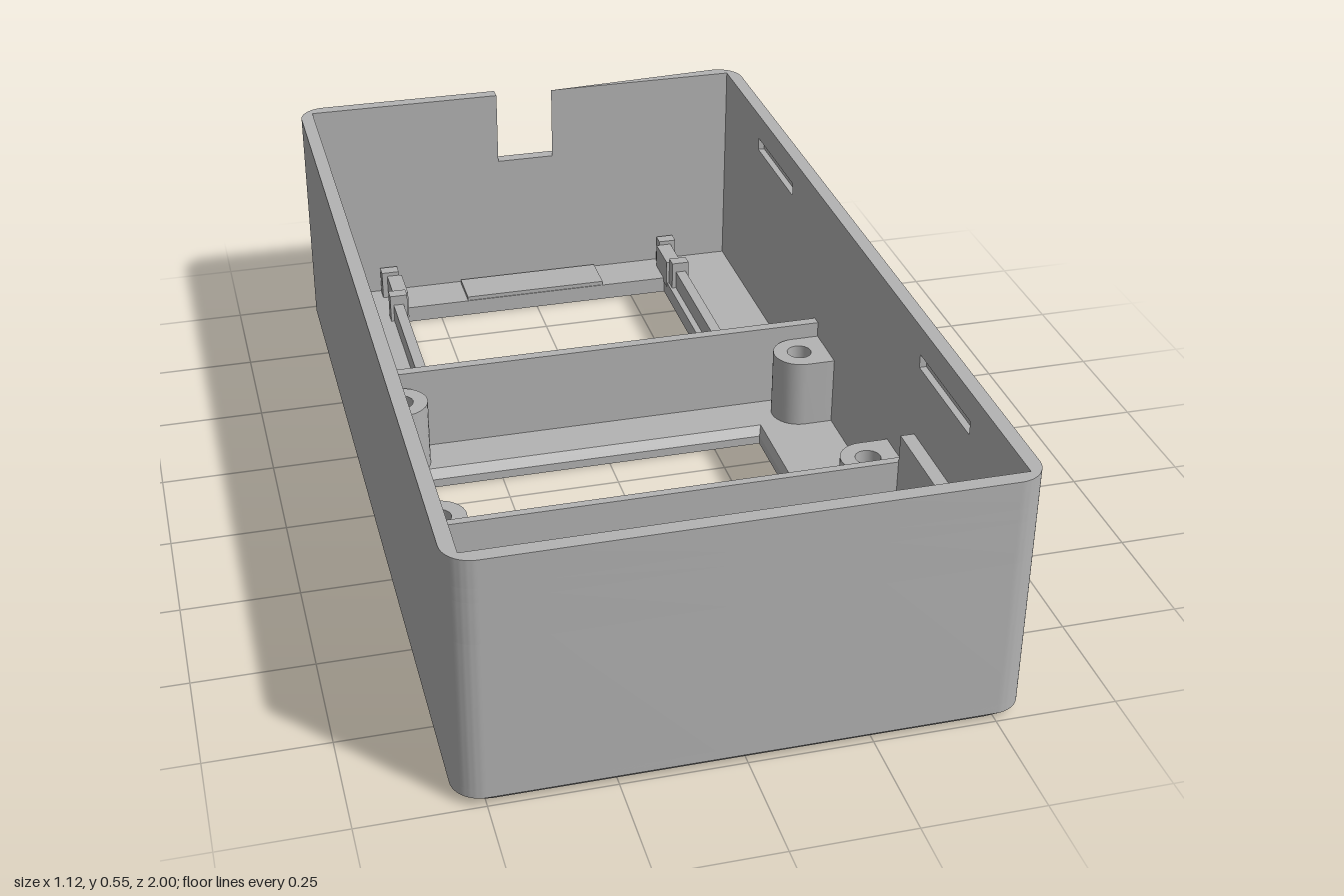
import * as THREE from 'three';
import { toCreasedNormals } from 'three/addons/utils/BufferGeometryUtils.js';

const W = 0.56, L = 1, T = 0.03, R = 0.06, H = 0.55, FLOOR = 0.04;

export function createModel() {
  const model = new THREE.Group();
  model.name = 'enclosureBase';
  const grey = new THREE.MeshStandardMaterial({ color: 0xb3b3b3 });
  grey.name = 'grey plastic';

  const add = (name, geo) => {
    const mesh = new THREE.Mesh(geo, grey);
    mesh.name = name;
    model.add(mesh);
    return mesh;
  };
  // Box given by its limits on each axis
  const block = (name, x0, x1, y0, y1, z0, z1) => {
    const geo = new THREE.BoxGeometry(x1 - x0, y1 - y0, z1 - z0);
    geo.translate((x0 + x1) / 2, (y0 + y1) / 2, (z0 + z1) / 2);
    return add(name, geo);
  };
  // The same box on both sides
  const pair = (name, x0, x1, ...rest) => {
    block(name + 'Left', x0, x1, ...rest);
    block(name + 'Right', -x1, -x0, ...rest);
  };
  // Plan outline (x, -z) raised from y0 to y1, with an optional rule for moving vertices
  const slab = (name, shape, y0, y1, move) => {
    const geo = new THREE.ExtrudeGeometry(shape, { depth: y1 - y0, bevelEnabled: false, curveSegments: 8 });
    geo.rotateX(-Math.PI / 2).translate(0, y0, 0);
    if (move) {
      const p = geo.attributes.position, v = new THREE.Vector3();
      for (let i = 0; i < p.count; i++) {
        v.fromBufferAttribute(p, i);
        move(v);
        p.setXYZ(i, v.x, v.y, v.z);
      }
      geo.computeVertexNormals();
    }
    return add(name, toCreasedNormals(geo, 0.5));
  };
  const rect = (x0, x1, z0, z1) => new THREE.Path([
    [x0, -z0], [x0, -z1], [x1, -z1], [x1, -z0]].map(([x, y]) => new THREE.Vector2(x, y)));
  // Rounded outer outline, starting and ending at the back edge
  const outer = (start) => {
    const s = new THREE.Shape();
    const cx = W - R, cy = L - R, q = Math.PI / 2;
    s.moveTo(start, L);
    s.absarc(cx, cy, R, q, 0, true);
    s.absarc(cx, -cy, R, 0, -q, true);
    s.absarc(-cx, -cy, R, -q, -2 * q, true);
    s.absarc(-cx, cy, R, 2 * q, q, true);
    return s;
  };

  // Floor with two windows: chamfered underside, flared middle window
  const floorShape = () => {
    const s = outer(0);
    s.holes.push(rect(-0.345, 0.34, -0.86, -0.36), rect(-0.42, 0.358, -0.08, 0.295));
    return s;
  };
  slab('floorUnderside', floorShape(), 0, 0.02, (v) => {
    if (v.y < 0.01 && (Math.abs(v.x) > 0.49 || Math.abs(v.z) > 0.93)) {
      v.x *= (W - 0.02) / W;
      v.z *= (L - 0.02) / L;
    }
  });
  slab('floor', floorShape(), 0.02, FLOOR, (v) => {
    if (v.y > 0.03 && Math.abs(v.x) < 0.45 && v.z > -0.2 && v.z < 0.35) {
      v.x += v.x < 0 ? -0.015 : 0.007;
      v.z += v.z < 0 ? -0.016 : 0.014;
    }
  });

  // Outer wall: closed below, open at the cable notch above, slotted inside near the rim
  const ix = W - T, iz = L - T, notch = 0.07;
  const lower = outer(0);
  lower.holes.push(rect(-ix, ix, -iz, iz));
  const upper = (slotted) => {
    const s = outer(notch);
    s.lineTo(-notch, L);
    s.lineTo(-notch, iz);
    const d = ix + 0.015;
    for (const side of [-1, 1]) {
      s.lineTo(side * ix, -side * iz);
      if (side < 0) s.lineTo(-ix, iz);
      if (slotted) {
        for (const [a, b] of [[0.69, 0.42], [-0.42, -0.69]]) {
          s.lineTo(side * ix, -side * a);
          s.lineTo(side * d, -side * a);
          s.lineTo(side * d, -side * b);
          s.lineTo(side * ix, -side * b);
        }
      }
      s.lineTo(side * ix, side * iz);
    }
    s.lineTo(notch, iz);
    return s;
  };
  slab('wallLower', lower, 0.02, 0.37);
  slab('wallNotched', upper(false), 0.37, 0.46);
  slab('wallSlotted', upper(true), 0.46, 0.49);
  slab('wallRim', upper(false), 0.49, H);

  // Cross dividers and side stiffeners
  block('backDivider', -ix, ix, 0.03, 0.235, -0.22, -0.197);
  block('frontDivider', -ix, ix, 0.03, 0.235, 0.402, 0.42);
  pair('sideStiffener', 0.5, ix, 0.03, 0.3, 0.42, 0.87);

  // Screw bosses joined to the side walls
  for (const side of [-1, 1]) {
    for (const z of [-0.135, 0.335]) {
      const s = new THREE.Shape();
      s.moveTo(0.07, -0.06);
      s.lineTo(0.07, 0.06);
      s.absarc(0, 0, 0.06, Math.PI / 2, Math.PI * 1.5, false);
      s.holes.push(new THREE.Path().absarc(0, 0, 0.028, 0, Math.PI * 2, true));
      const boss = slab('screwBoss', s, 0.03, 0.2);
      boss.position.set(side * 0.465, 0, z);
      if (side < 0) boss.rotation.y = Math.PI;
    }
  }

  // Back holder around the large window: side rails, end rail, hinge clips, snaps
  pair('backHolderRail', 0.355, 0.38, 0.03, 0.085, -0.8, -0.22);
  block('backHolderEnd', -0.38, 0.38, 0.03, 0.085, -0.25, -0.22);
  pair('backClipBar', 0.338, 0.375, 0.03, 0.1, -0.93, -0.83);
  for (const z of [-0.96, -0.83]) pair('backClipPost', 0.345, 0.388, 0.03, 0.11, z, z + 0.03);
  pair('backSnap', 0.2, 0.32, 0.065, 0.085, -0.275, -0.225);
  block('backPad', -0.18, 0.175, 0.03, 0.05, -0.96, -0.862);

  // Front holder: U-shaped wall, inner ledges, clips and a snap
  pair('frontHolderWall', 0.288, 0.313, 0.03, 0.157, 0.64, 0.95);
  block('frontHolderEnd', -0.313, 0.313, 0.03, 0.157, 0.922, 0.95);
  pair('frontLedge', 0.237, 0.288, 0.03, 0.09, 0.49, 0.922);
  pair('frontClipBar', 0.285, 0.32, 0.03, 0.15, 0.49, 0.63);
  for (const z of [0.46, 0.63]) pair('frontClipPost', 0.28, 0.333, 0.03, 0.16, z, z + 0.025);
  pair('frontClipArm', 0.2, 0.285, 0.03, 0.12, 0.452, 0.495);
  block('frontSnap', -0.06, 0.06, 0.125, 0.157, 0.882, 0.925);

  return model;
}
